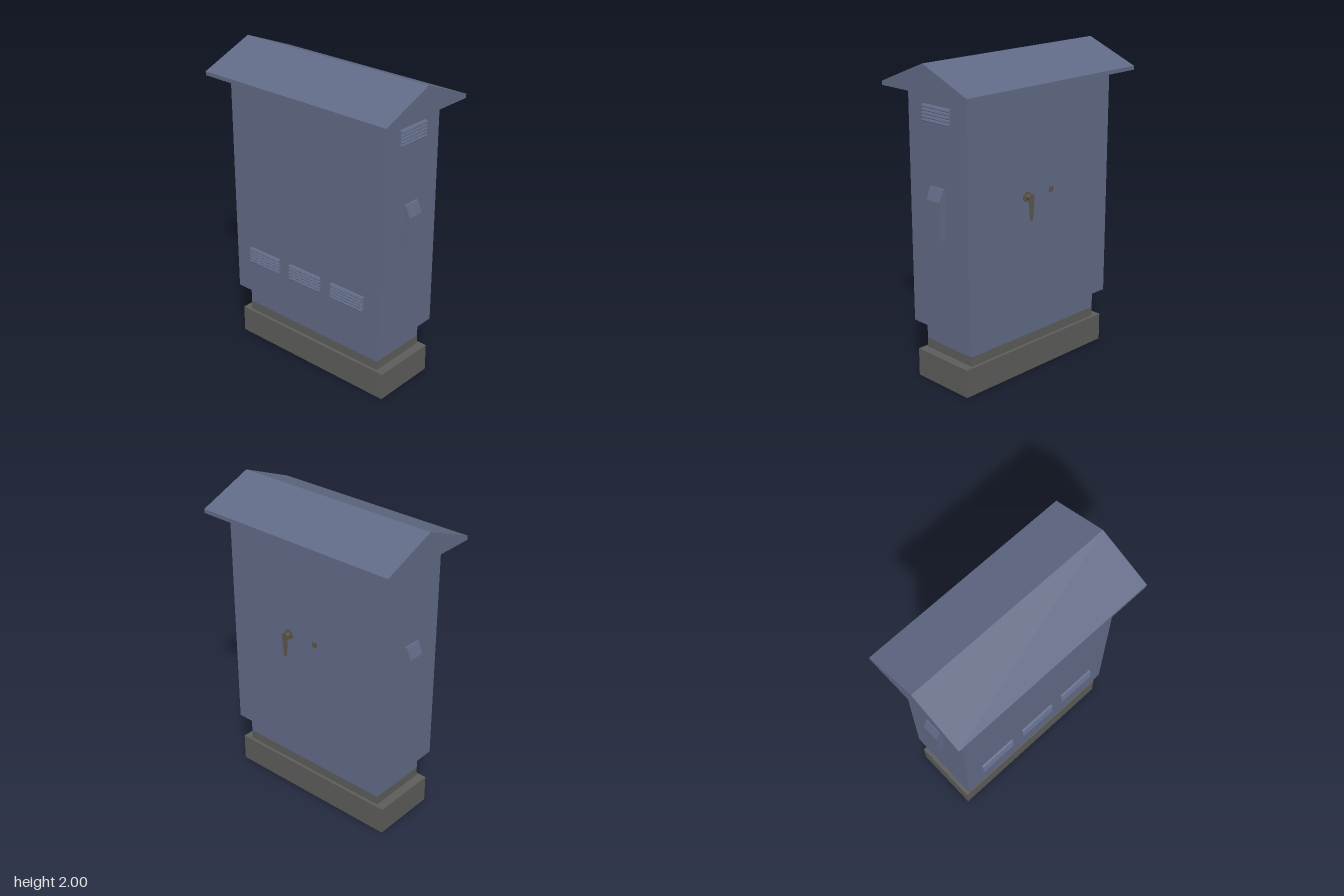
import * as THREE from 'three';

const paint = new THREE.MeshStandardMaterial({ color: 0x616a86 });
paint.name = 'blue grey paint';
const concrete = new THREE.MeshStandardMaterial({ color: 0x5c5c5a });
concrete.name = 'concrete grey';
const metal = new THREE.MeshStandardMaterial({ color: 0x5b564d });
metal.name = 'dark metal';

function add(parent, name, geometry, material, x = 0, y = 0, z = 0) {
  const mesh = new THREE.Mesh(geometry, material);
  mesh.name = name;
  mesh.position.set(x, y, z);
  parent.add(mesh);
  return mesh;
}

// Box spanning the given heights, centred on x and z
function block(parent, name, w, y0, y1, d, material, x = 0, z = 0) {
  return add(parent, name, new THREE.BoxGeometry(w, y1 - y0, d), material, x, (y0 + y1) / 2, z);
}

const polygon = points => new THREE.Shape(points.map(p => new THREE.Vector2(...p)));
const extrude = (shape, depth) =>
  new THREE.ExtrudeGeometry(shape, { depth, bevelEnabled: false, curveSegments: 12 });

// Side profile of [out, up] points, swept sideways and facing +z
const sideProfile = (points, width) =>
  extrude(polygon(points), width).translate(0, 0, -width / 2).rotateY(-Math.PI / 2);

// Vent of five sloping hoods facing +z, standing on its own base line
function louvre(name, width) {
  const group = new THREE.Group();
  group.name = name;
  const hood = sideProfile([[0, 0], [0.016, 0], [0.018, 0.004], [0.012, 0.014], [0, 0.019]], width);
  for (let i = 0; i < 5; i++) add(group, 'louvreSlat', hood, paint, 0, i * 0.0202, 0);
  return group;
}

export function createModel() {
  const model = new THREE.Group();
  model.name = 'electricalCabinet';

  // Foundation and plinth
  block(model, 'foundation', 0.44, 0, 0.18, 1.2, concrete);
  block(model, 'plinthFoot', 0.4, 0.18, 0.24, 1.085, concrete);
  block(model, 'plinth', 0.4, 0.24, 0.365, 1.085, paint);

  // Cabinet body with a pair of doors on the left side
  block(model, 'body', 0.497, 0.365, 1.83, 1.2, paint, -0.0015);
  for (const s of [-1, 1]) block(model, 'door', 0.006, 0.366, 1.829, 0.594, paint, 0.247, s * 0.299);

  // Gabled roof
  const gable = polygon([[-0.36, 1.83], [0.36, 1.83], [0.36, 1.855], [0, 2], [-0.36, 1.855]]);
  add(model, 'roof', extrude(gable, 1.4).translate(0, 0, -0.7), paint);

  // Sloped covers on both end walls
  const cover = sideProfile([[0, 0.965], [0.045, 0.965], [0.045, 1.195], [0.016, 1.268], [0, 1.268]], 0.112);
  for (const turn of [0, Math.PI]) {
    add(model, 'endCover', cover, paint, 0, 0, turn ? -0.6 : 0.6).rotation.y = turn;
  }

  // Vents: one high on the front, three low on the right side
  const frontVent = louvre('frontVent', 0.232);
  frontVent.position.set(0, 1.647, 0.6);
  model.add(frontVent);
  for (const z of [-0.345, 0, 0.345]) {
    const vent = louvre('sideVent', 0.26);
    vent.rotation.y = -Math.PI / 2;
    vent.position.set(-0.25, 0.595, z);
    model.add(vent);
  }

  // Door handle: rosette, spindle and hanging tapered lever
  const handle = new THREE.Group();
  handle.name = 'doorHandle';
  handle.position.set(0.25, 1.165, 0.128);
  const rod = (r, length) => new THREE.CylinderGeometry(r, r, length, 24).rotateZ(-Math.PI / 2);
  add(handle, 'rosette', rod(0.033, 0.006), metal, 0.003);
  add(handle, 'spindle', rod(0.016, 0.037), metal, 0.0185);
  const lever = new THREE.Shape();
  lever.moveTo(-0.009, -0.137);
  lever.lineTo(0.009, -0.137);
  lever.lineTo(0.022, 0);
  lever.absarc(0, 0.003, 0.022, 0, Math.PI, false);
  lever.lineTo(-0.009, -0.137);
  add(handle, 'lever', extrude(lever, 0.006).rotateY(Math.PI / 2), metal, 0.036);
  model.add(handle);

  // Square key plate on the other door
  block(model, 'keyPlate', 0.006, 1.153, 1.187, 0.036, metal, 0.252, -0.08);

  return model;
}
